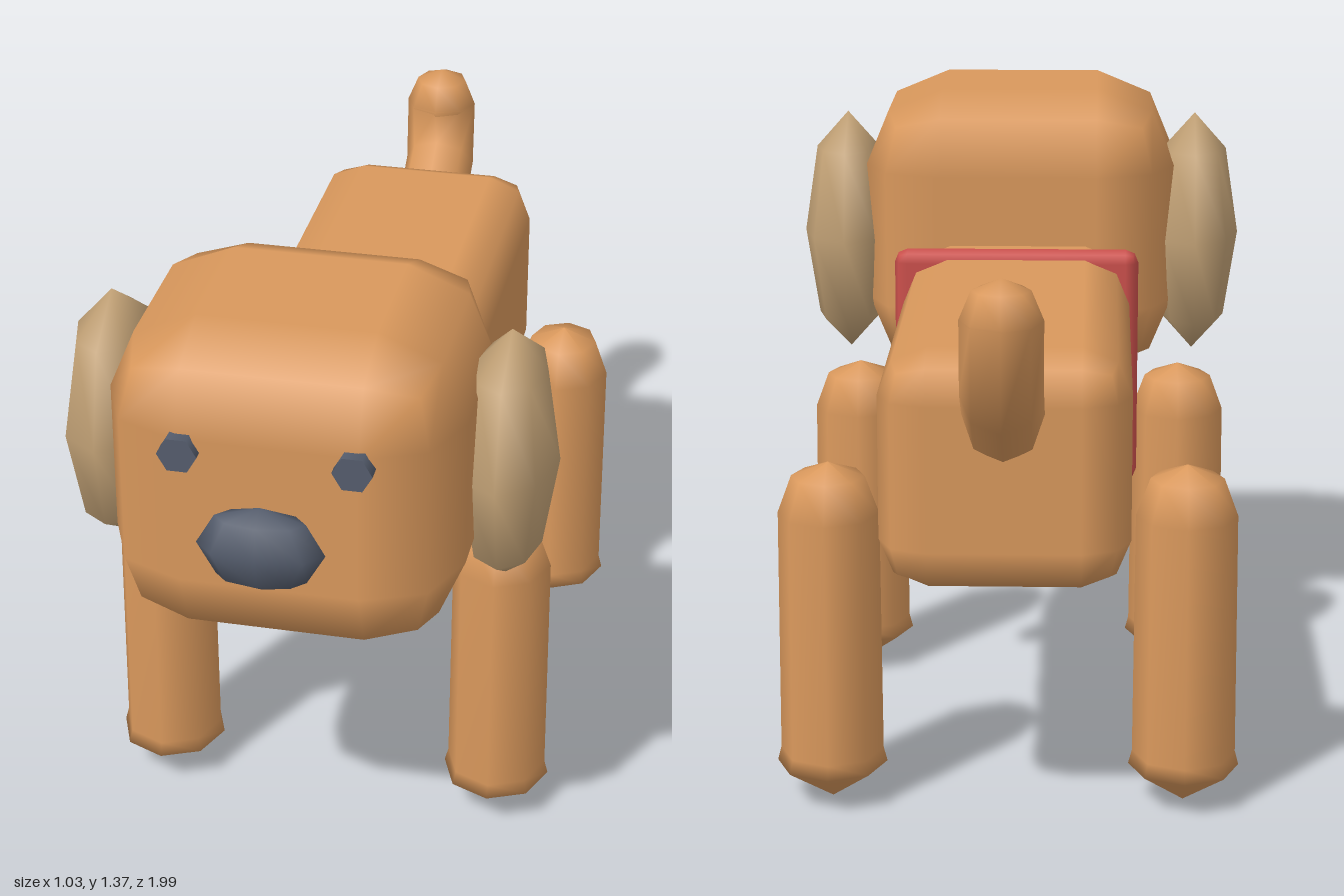
import * as THREE from 'three';
import { RoundedBoxGeometry } from 'three/addons/geometries/RoundedBoxGeometry.js';

const material = (name, color) => {
  const m = new THREE.MeshStandardMaterial({ color });
  m.name = name;
  return m;
};

export function createModel() {
  const fur = material('brown fur', 0xd9985c);
  const earFur = material('tan ear fur', 0xc4a377);
  const chestFur = material('pale chest fur', 0xd8d2c6);
  const dark = material('dark slate', 0x555d6d);
  const red = material('collar red', 0xcc504c);

  const model = new THREE.Group();
  model.name = 'dog';
  const add = (name, geometry, mat, x, y, z, parent = model) => {
    const mesh = new THREE.Mesh(geometry, mat);
    mesh.name = name;
    mesh.position.set(x, y, z);
    parent.add(mesh);
    return mesh;
  };
  const ellipsoid = (rx, ry, rz, around = 8, rows = 4) =>
    new THREE.SphereGeometry(1, around, rows).scale(rx, ry, rz);

  // Body and collar
  add('body', new RoundedBoxGeometry(0.51, 0.5, 1.24, 1, 0.1), fur, 0, 0.78, -0.2);
  add('collar', new RoundedBoxGeometry(0.55, 0.54, 0.06, 1, 0.029), red, 0, 0.78, 0.12);
  add('chest', ellipsoid(0.26, 0.23, 0.135, 8, 6), chestFur, 0, 0.69, 0.395).rotation.x = -0.1;

  // Head, its lower back edge pulled slightly forward
  const skull = new RoundedBoxGeometry(0.72, 0.68, 0.65, 1, 0.18);
  const p = skull.attributes.position;
  for (let i = 0; i < p.count; i++) {
    if (p.getY(i) < 0 && p.getZ(i) < 0) p.setZ(i, p.getZ(i) + 0.025);
  }
  add('head', skull, fur, 0, 1.03, 0.56);
  add('nose', ellipsoid(0.128, 0.093, 0.053), dark, 0, 1.002, 0.942);

  // Eyes and ears, mirrored
  const eye = new THREE.CylinderGeometry(0.04, 0.04, 0.05, 6, 1, false, Math.PI / 6).rotateX(Math.PI / 2);
  const ear = ellipsoid(0.105, 0.285, 0.175);
  for (const [side, s] of [['left', 1], ['right', -1]]) {
    add(side + 'Eye', eye, dark, s * 0.172, 1.167, 0.88);
    add(side + 'Ear', ear, earFur, s * 0.41, 1.015, 0.51);
  }

  // Legs: eight-sided posts with rounded tops and pointed feet
  const legProfile = [[0, 0], [0.119, 0.08], [0.111, 0.11], [0.108, 0.63], [0.078, 0.71], [0, 0.74]]
    .map(([r, y]) => new THREE.Vector2(r, y));
  const leg = new THREE.LatheGeometry(legProfile, 8).scale(0.98, 1, 1.04);
  for (const [side, s] of [['Left', 1], ['Right', -1]]) {
    add('front' + side + 'Leg', leg, fur, s * 0.372, 0, 0.315);
    add('back' + side + 'Leg', leg, fur, s * 0.372, 0, -0.545);
  }

  // Bent tail with a round tip
  const tail = new THREE.Group();
  tail.name = 'tail';
  model.add(tail);
  const root = new THREE.Vector3(0, 0.89, -0.78);
  const bend = new THREE.Vector3(0, 0.98, -0.905);
  const tip = new THREE.Vector3(0, 1.13, -0.915);
  const path = new THREE.CurvePath();
  path.add(new THREE.LineCurve3(root, bend));
  path.add(new THREE.LineCurve3(bend, tip));
  add('tailStem', new THREE.TubeGeometry(path, 2, 0.082, 8), fur, 0, 0, 0, tail);
  add('tailTip', ellipsoid(0.082, 0.082, 0.082), fur, tip.x, tip.y, tip.z, tail);

  return model;
}
